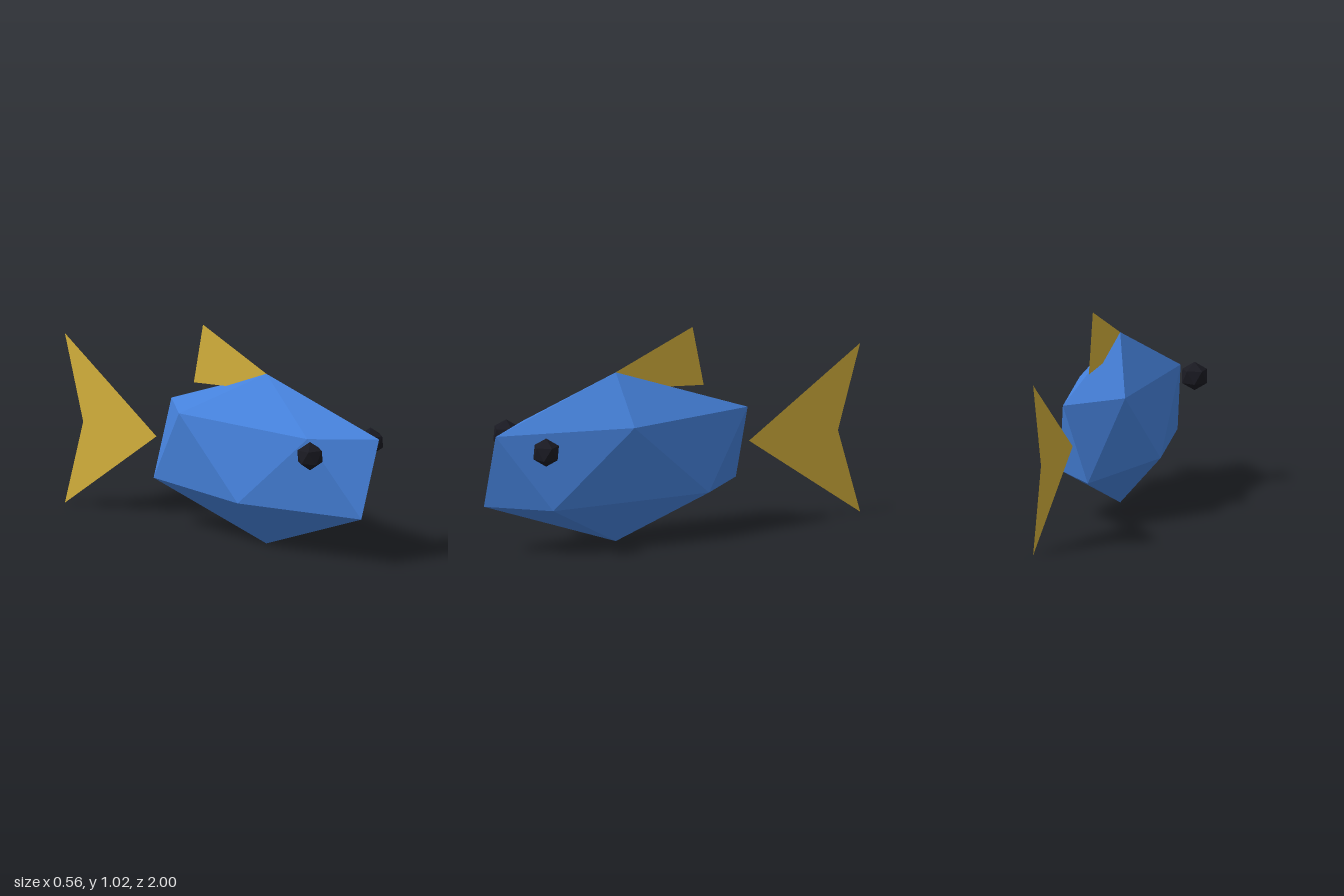
import * as THREE from 'three';

// Faceted icosahedron standing on a corner: two poles and two staggered rings of five
function facetedBall(rx, ry, rz) {
  const h = 1 / Math.sqrt(5), r = 2 * h;
  const ring = (y, turn) => Array.from({ length: 5 }, (_, k) => {
    const a = (k * 2 + turn) * Math.PI / 5;
    return [r * Math.cos(a) * rx, y * ry, r * Math.sin(a) * rz];
  });
  const top = [0, ry, 0], bottom = [0, -ry, 0];
  const up = ring(h, 0), low = ring(-h, 1);
  const corners = [];
  for (let k = 0; k < 5; k++) {
    const n = (k + 1) % 5;
    corners.push(
      top, up[n], up[k],
      up[k], up[n], low[k],
      low[k], up[n], low[n],
      bottom, low[k], low[n]);
  }
  const geometry = new THREE.BufferGeometry();
  geometry.setAttribute('position', new THREE.Float32BufferAttribute(corners.flat(), 3));
  geometry.computeVertexNormals(); // unshared corners give flat facets
  return geometry;
}

// Flat fin in the middle plane, outlined by [z, y] points
function flatFin(points) {
  const shape = new THREE.Shape(points.map(([z, y]) => new THREE.Vector2(z, y)));
  return new THREE.ShapeGeometry(shape).rotateY(-Math.PI / 2);
}

export function createModel() {
  const group = new THREE.Group();
  group.name = 'fish';

  const material = (name, color, side = THREE.FrontSide) =>
    Object.assign(new THREE.MeshStandardMaterial({ color, side }), { name });
  const blue = material('blue scales', 0x4682dc);
  const gold = material('gold fins', 0xd4b03c, THREE.DoubleSide);
  const black = material('black eyes', 0x1a1a22);

  const add = (name, geometry, mat, x = 0, y = 0, z = 0) => {
    const mesh = new THREE.Mesh(geometry, mat);
    mesh.name = name;
    mesh.position.set(x, y, z);
    group.add(mesh);
  };

  // Body, squeezed narrow and stretched long
  add('body', facetedBall(0.23, 0.42, 0.8), blue, 0, 0.42, 0.32);

  // Eyes, both facing the same way round
  const eye = facetedBall(0.07, 0.07, 0.07);
  add('leftEye', eye, black, 0.216, 0.542, 0.804);
  add('rightEye', eye, black, -0.216, 0.542, 0.804);

  // Fins
  add('dorsalFin', flatFin([[0.32, 0.84], [-0.095, 1.02], [-0.155, 0.725], [0.1, 0.742]]), gold);
  add('tailFin', flatFin([[-0.4, 0.42], [-1, 0.84], [-0.88, 0.42], [-1, 0]]), gold);

  return group;
}
